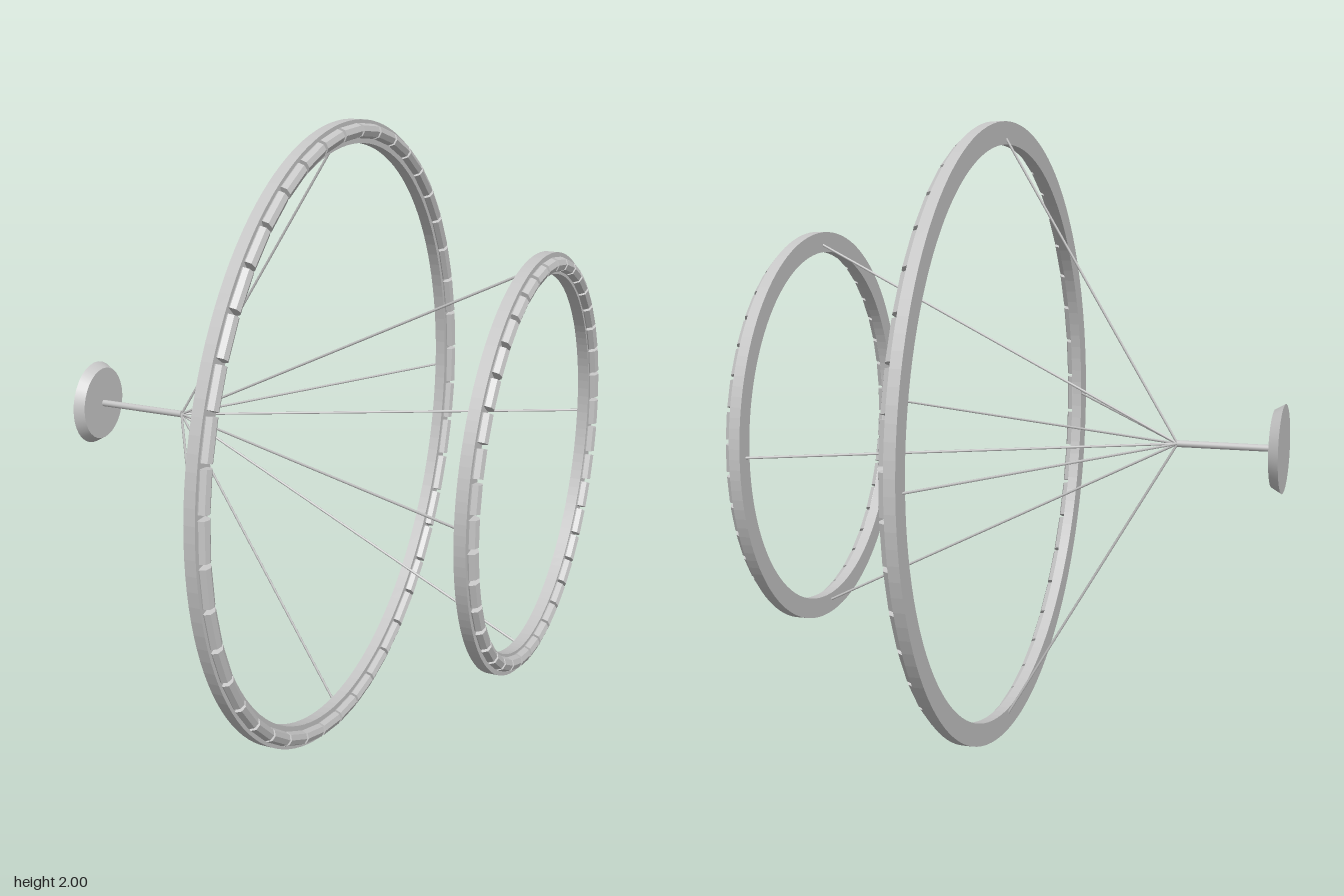
import * as THREE from 'three';
import { mergeGeometries } from 'three/addons/utils/BufferGeometryUtils.js';

const metal = new THREE.MeshStandardMaterial({ color: 0xc6c6c6 });
metal.name = 'light grey metal';

function part(name, geometry, parent) {
  const mesh = new THREE.Mesh(geometry, metal);
  mesh.name = name;
  parent.add(mesh);
  return mesh;
}

// Straight round bar between two points
function bar(a, b, radius, sides) {
  const dir = b.clone().sub(a);
  const g = new THREE.CylinderGeometry(radius, radius, dir.length(), sides);
  g.applyQuaternion(new THREE.Quaternion().setFromUnitVectors(
    new THREE.Vector3(0, 1, 0), dir.clone().normalize()));
  const mid = a.clone().add(b).multiplyScalar(0.5);
  return g.translate(mid.x, mid.y, mid.z);
}

// Flat annular band whose axis runs along x
function band(x0, x1, inner, outer) {
  const shape = new THREE.Shape().absarc(0, 0, outer, 0, Math.PI * 2);
  shape.holes.push(new THREE.Path().absarc(0, 0, inner, 0, Math.PI * 2, true));
  return new THREE.ExtrudeGeometry(shape, { depth: x1 - x0, bevelEnabled: false, curveSegments: 64 })
    .rotateY(Math.PI / 2).translate(x0, 0, 0);
}

// Ring of short faceted rods set on the front of a band
function rods(x, ringRadius, rodRadius, count) {
  const pitch = (Math.PI * 2) / count;
  const length = 2 * ringRadius * Math.tan(pitch / 2) - 0.014;
  const list = [];
  for (let i = 0; i < count; i++) {
    list.push(new THREE.CylinderGeometry(rodRadius, rodRadius, length, 8)
      .toNonIndexed().rotateX(Math.PI / 2).translate(x, ringRadius, 0).rotateX(i * pitch));
  }
  const merged = mergeGeometries(list);
  merged.computeVertexNormals(); // flat facets
  return merged;
}

export function createModel() {
  const model = new THREE.Group();
  model.name = 'doubleRingLamp';
  const body = new THREE.Group();
  body.name = 'body';
  body.position.y = 1; // the shared axis lies at y = 1
  model.add(body);

  // Wall plate and stem
  part('mountingPlate', new THREE.CylinderGeometry(0.122, 0.14, 0.032, 32)
    .rotateZ(-Math.PI / 2).translate(-0.784, 0, 0), body);
  const hub = new THREE.Vector3(-0.465, 0, 0);
  part('stem', bar(new THREE.Vector3(-0.77, 0, 0), hub, 0.011, 16), body);

  // Two rings, each held by four stays from the stem tip
  const rings = [
    { name: 'large', x: 0.095, inner: 0.928, outer: 1.0, rodAt: 0.965, rod: 0.023, count: 44 },
    { name: 'small', x: 0.73, inner: 0.58, outer: 0.645, rodAt: 0.609, rod: 0.022, count: 40 },
  ];
  for (const r of rings) {
    const group = new THREE.Group();
    group.name = r.name + 'Ring';
    body.add(group);
    part(r.name + 'Band', band(r.x, r.x + 0.035, r.inner, r.outer), group);
    part(r.name + 'RingRods', rods(r.x + 0.039, r.rodAt, r.rod, r.count), group);
    const reach = (r.inner + r.outer) / 2 - 0.005;
    for (let i = 0; i < 4; i++) {
      const a = (i * Math.PI) / 2;
      const end = new THREE.Vector3(r.x + 0.01, reach * Math.cos(a), reach * Math.sin(a));
      part(r.name + 'RingStay', bar(hub, end, 0.004, 8), group);
    }
  }
  return model;
}
